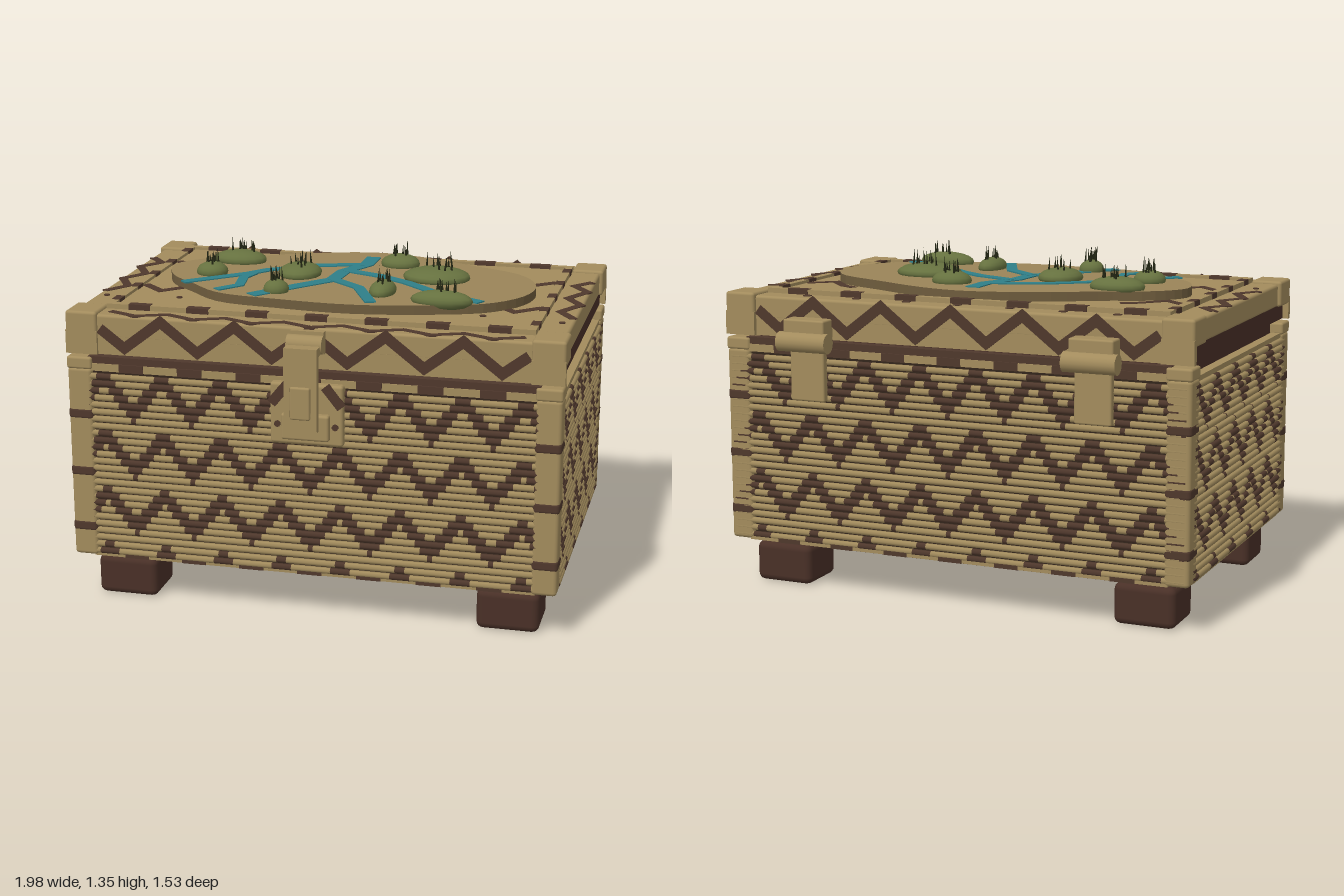
import * as THREE from 'three';
import { mergeGeometries } from 'three/addons/utils/BufferGeometryUtils.js';
import { RoundedBoxGeometry } from 'three/addons/geometries/RoundedBoxGeometry.js';

const mat = (name, color) => Object.assign(new THREE.MeshStandardMaterial({ color }), { name });

export function createModel() {
  const M = {
    tan: mat('wicker tan', 0xa38c5d), brown: mat('pattern brown', 0x4f382c),
    wood: mat('dark wood', 0x493027), core: mat('inner shadow brown', 0x33251b),
    land: mat('land', 0x9a8458), edge: mat('land edge', 0x6e5c3d), water: mat('river teal', 0x2f7f88),
    green: mat('moss green', 0x66713f), grass: mat('grass dark', 0x262a16),
  };
  const root = new THREE.Group();
  const add = (name, geos, m) => {
    const list = [].concat(geos).map(g => (g.index ? g.toNonIndexed() : g));
    const mesh = new THREE.Mesh(mergeGeometries(list), m);
    mesh.name = name;
    root.add(mesh);
    return mesh;
  };
  // box given by its limits; r rounds the edges
  const box = (x0, x1, y0, y1, z0, z1, r = 0) => {
    const s = [x1 - x0, y1 - y0, z1 - z0];
    const g = r ? new RoundedBoxGeometry(...s, 2, r) : new THREE.BoxGeometry(...s);
    return g.translate((x0 + x1) / 2, (y0 + y1) / 2, (z0 + z1) / 2);
  };
  const rodX = (x0, x1, y, z, r, n = 6) =>
    new THREE.CylinderGeometry(r, r, x1 - x0, n, 1, n < 10).rotateZ(Math.PI / 2).translate((x0 + x1) / 2, y, z);
  // flat mitred ribbon in the XY plane
  const ribbon = (pts, w, depth = 0.006) => {
    const P = pts.map(p => new THREE.Vector2(...p)), L = [], R = [];
    P.forEach((p, i) => {
      const a = p.clone().sub(P[Math.max(i - 1, 0)]).normalize();
      const b = P[Math.min(i + 1, P.length - 1)].clone().sub(p).normalize();
      const t = a.clone().add(b).normalize(), d = i ? a : b;
      const k = w / 2 / Math.max(0.45, t.dot(d));
      L.push(new THREE.Vector2(p.x - t.y * k, p.y + t.x * k));
      R.unshift(new THREE.Vector2(p.x + t.y * k, p.y - t.x * k));
    });
    return new THREE.ExtrudeGeometry(new THREE.Shape([...L, ...R]), { depth, bevelEnabled: false });
  };
  // ribbon lying flat, points given as [x, z]
  const flatRibbon = (pts, w, y, depth) =>
    ribbon(pts.map(([x, z]) => [x, -z]), w, depth).rotateX(-Math.PI / 2).translate(0, y, 0);
  let seed = 7;
  const rnd = () => (seed = (seed * 16807) % 2147483647) / 2147483647;

  // feet, base and core
  const feet = [];
  for (const x of [-0.785, 0.785]) for (const z of [0.462, -0.51])
    feet.push(box(x - 0.125, x + 0.125, 0, 0.165, z - 0.112, z + 0.112, 0.028));
  add('feet', feet, M.wood);
  add('basePlate', box(-0.91, 0.91, 0.16, 0.2, -0.59, 0.54), M.wood);
  add('basketCore', box(-0.968, 0.968, 0.19, 0.975, -0.665, 0.618), M.core);
  add('innerRim', box(-0.93, 0.93, 0.97, 1.05, -0.575, 0.535), M.wood);

  // woven walls: rods cut where the zigzag changes colour
  const weave = { tan: [], brown: [] };
  const tri = u => { const t = Math.abs(u / 0.24) % 1; return 1 - Math.abs(2 * t - 1); };
  const dark = (u, y) => [0.08, 0.32, 0.56, 0.8].some(c => Math.abs(y - c - 0.145 * tri(u)) < 0.038);
  const wallRow = (u0, u1, y, place) => {
    let start = u0, cur = dark(u0, y);
    for (let u = u0; u <= u1 + 0.005; u += 0.01) {
      const d = dark(u, y), last = u + 0.01 > u1;
      if (d !== cur || last) {
        const end = last ? u1 : u;
        if (end - start > 0.001) weave[cur ? 'brown' : 'tan'].push(place(rodX(start, end, y, 0, 0.0128)));
        start = end; cur = d;
      }
    }
  };
  for (let i = 0; i < 26; i++) {
    const y = 0.21 + i * 0.0295;
    for (const z of [0.624, -0.672]) wallRow(-0.965, 0.965, y, g => g.translate(0, 0, z));
    for (const x of [-0.975, 0.975]) wallRow(-0.57, 0.63, y, g => g.rotateY(Math.PI / 2).translate(x, 0, 0));
  }
  add('wovenRods', weave.tan, M.tan);
  add('wovenZigzag', weave.brown, M.brown);

  // corner posts with dark bands, and their caps
  const posts = [], bands = [];
  for (const s of [-1, 1]) for (const z of [0.587, -0.633]) {
    const x = s * 0.934;
    posts.push(box(x - 0.05, x + 0.05, 0.19, 0.98, z - 0.05, z + 0.05, 0.015));
    posts.push(box(x - 0.052, x + 0.052, 0.975, 1.025, z - 0.052, z + 0.052, 0.01));
    for (const y of [0.315, 0.55, 0.79])
      bands.push(box(x - 0.052, x + 0.052, y - 0.025, y + 0.025, z - 0.052, z + 0.052, 0.015));
  }
  add('cornerPosts', posts, M.tan);
  add('postBands', bands, M.brown);

  // upper and lower rails with patches
  const rails = [], patches = [];
  for (const z of [0.605, -0.655]) {
    rails.push(box(-0.9, 0.9, 0.97, 1.0, z - 0.025, z + 0.025), box(-0.9, 0.9, 0.188, 0.205, z - 0.025, z + 0.025));
    patches.push(box(-0.9, 0.9, 0.998, 1.028, z - 0.02, z + 0.02));
    for (let i = -3; i <= 3; i++) for (const y of [0.969, 0.187])
      patches.push(box(i * 0.24 - 0.05, i * 0.24 + 0.05, y, y + (y > 0.5 ? 0.032 : 0.019), z - 0.027, z + 0.027));
  }
  for (const s of [-1, 1]) {
    rails.push(box(s * 0.955 - 0.02, s * 0.955 + 0.02, 0.962, 0.982, -0.6, 0.55));
    rails.push(box(s * 0.955 - 0.02, s * 0.955 + 0.02, 0.188, 0.205, -0.6, 0.55));
  }
  add('basketRails', rails, M.tan);
  add('railPatches', patches, M.brown);

  // lid
  const lid = [
    box(-0.975, 0.975, 1.1, 1.195, -0.66, 0.612, 0.012),
    box(-0.955, 0.955, 1.035, 1.11, 0.59, 0.612), box(-0.955, 0.955, 1.035, 1.11, -0.66, -0.638),
  ];
  for (const s of [-1, 1]) {
    const [a, b] = s > 0 ? [0.86, 0.99] : [-0.99, -0.86];
    lid.push(box(a, b, 1.1, 1.207, 0.48, 0.625, 0.012), box(a, b, 1.1, 1.207, -0.678, -0.53, 0.012));
    lid.push(box(a, b, 1.035, 1.13, 0.6, 0.625), box(a, b, 1.035, 1.13, -0.678, -0.65));
    lid.push(box(s * 0.843 - 0.015, s * 0.843 + 0.015, 1.18, 1.215, -0.56, 0.51));
  }
  lid.push(box(-0.858, 0.858, 1.18, 1.215, 0.48, 0.51), box(-0.858, 0.858, 1.18, 1.215, -0.565, -0.535));
  lid.push(box(-0.84, 0.84, 1.18, 1.203, -0.54, 0.49));
  add('lid', lid, M.tan);
  add('lidSideBand', box(-0.968, 0.968, 1.038, 1.102, -0.637, 0.589), M.wood);

  // zigzags and spots on the lid
  const marks = [], zig = [];
  for (let i = -5; i <= 5; i++) zig.push([i * 0.15, i % 2 ? 1.065 : 1.18]);
  zig.unshift([-0.85, 1.14]); zig.push([0.85, 1.14]);
  marks.push(ribbon(zig, 0.042).translate(0, 0, 0.61), ribbon(zig, 0.042).translate(0, 0, -0.664));
  const top = [];
  for (let i = -7; i <= 7; i++) top.push([i * 0.118, i % 2 ? 0.55 : 0.6]);
  marks.push(flatRibbon(top, 0.03, 1.192, 0.005));
  for (const s of [-1, 1]) {
    const side = [-0.37, -0.29, -0.2, -0.08, 0.02, 0.14, 0.24].map((z, i) => [s * (i % 2 ? 0.9 : 0.965), z]);
    marks.push(flatRibbon(side, 0.034, 1.192, 0.005));
    marks.push(flatRibbon([[s * 0.58, -0.35], [s * 0.64, -0.32], [s * 0.73, -0.22], [s * 0.825, -0.3]], 0.036, 1.2, 0.005));
    marks.push(flatRibbon([[s * 0.6, 0.09], [s * 0.73, 0.22], [s * 0.825, 0.13]], 0.036, 1.2, 0.005));
    for (let i = 0; i < 5; i++) {
      const z = -0.47 + i * 0.22;
      marks.push(box(s * 0.843 - 0.017, s * 0.843 + 0.017, 1.17, 1.217, z - 0.03, z + 0.03));
    }
    for (const x of [0.62, 0.93]) marks.push(new THREE.CylinderGeometry(0.013, 0.013, 0.006, 8).translate(s * x, x < 0.8 ? 1.204 : 1.196, 0.31));
  }
  for (let i = -3; i <= 3; i++) {
    for (const z of [0.495, -0.55]) marks.push(box(i * 0.24 - 0.045, i * 0.24 + 0.045, 1.17, 1.217, z - 0.017, z + 0.017));
    marks.push(new THREE.CylinderGeometry(0.018, 0.018, 0.006, 6).translate(i * 0.22, 1.195, -0.595));
  }
  add('lidPattern', marks, M.brown);

  // land slab
  const outline = new THREE.CatmullRomCurve3([
    [-0.77, -0.1], [-0.69, -0.22], [-0.5, -0.31], [-0.3, -0.42], [0, -0.51], [0.2, -0.48], [0.45, -0.37], [0.68, -0.25],
    [0.77, -0.08], [0.75, 0.1], [0.63, 0.25], [0.4, 0.34], [0.1, 0.395], [-0.2, 0.375], [-0.45, 0.33], [-0.6, 0.2], [-0.72, 0.08],
  ].map(([x, z]) => new THREE.Vector3(x, -z, 0)), true).getPoints(64).slice(0, 64);
  const slab = new THREE.ExtrudeGeometry(new THREE.Shape(outline.map(p => new THREE.Vector2(p.x, p.y))),
    { depth: 0.04, bevelEnabled: false }).rotateX(-Math.PI / 2).translate(0, 1.2, 0);
  const land = new THREE.Mesh(slab, [M.land, M.edge]);
  land.name = 'land';
  root.add(land);

  // rivers
  add('rivers', [
    [0.06, [0.02, -0.41], [0.02, -0.27], [-0.045, -0.13], [-0.055, 0.02], [-0.17, 0.16], [-0.31, 0.34]],
    [0.045, [0.02, -0.275], [-0.2, -0.2], [-0.36, -0.08], [-0.42, 0], [-0.64, 0.2]],
    [0.04, [-0.4, -0.01], [-0.42, 0.07], [-0.4, 0.2], [-0.47, 0.29]],
    [0.045, [-0.04, -0.15], [0.13, -0.08], [0.25, 0], [0.4, 0.14], [0.6, 0.25]],
    [0.045, [-0.06, 0.01], [0.08, 0.13], [0.18, 0.35]],
  ].map(([w, ...p], i) => flatRibbon(p, w, 1.238, 0.006 + i * 0.0004)), M.water);

  // mossy mounds with grass blades
  const mounds = [], blades = [];
  for (const [x, z, rx, rz] of [
    [-0.52, -0.22, 0.115, 0.075], [0.16, -0.3, 0.083, 0.068], [-0.21, -0.045, 0.09, 0.105], [0.355, -0.1, 0.14, 0.11],
    [-0.57, 0.02, 0.066, 0.062], [0.19, 0.175, 0.053, 0.092], [-0.23, 0.255, 0.052, 0.05], [0.45, 0.28, 0.125, 0.056],
  ]) {
    mounds.push(new THREE.SphereGeometry(1, 16, 10).scale(rx, 0.04, rz).translate(x, 1.25, z));
    for (let i = 0; i < 11; i++) {
      const a = rnd() * 6.28, r = Math.sqrt(rnd()) * 0.55, h = 0.045 + rnd() * 0.03;
      blades.push(new THREE.ConeGeometry(0.0055, h, 4).rotateZ((rnd() - 0.5) * 0.2)
        .translate(x + Math.cos(a) * r * rx, 1.275 + h / 2, z + Math.sin(a) * r * rz));
    }
  }
  add('mounds', mounds, M.green);
  add('grass', blades, M.grass);

  // front latch
  const hole = new THREE.Shape([[-0.065, 0.82], [0.065, 0.82], [0.065, 1.15], [-0.065, 1.15]].map(p => new THREE.Vector2(...p)));
  hole.holes.push(new THREE.Path([[-0.042, 0.875], [-0.042, 0.995], [0.042, 0.995], [0.042, 0.875]].map(p => new THREE.Vector2(...p))));
  add('latch', [
    box(-0.145, 0.145, 0.74, 0.985, 0.61, 0.662, 0.012), box(-0.095, 0.095, 0.765, 0.87, 0.65, 0.69, 0.01),
    new THREE.ExtrudeGeometry(hole, { depth: 0.03, bevelEnabled: false }).translate(0, 0, 0.722),
    box(-0.04, 0.04, 0.87, 1.0, 0.738, 0.762, 0.008),
    box(-0.065, 0.065, 1.115, 1.15, 0.66, 0.752), box(-0.065, 0.065, 1.1, 1.19, 0.6, 0.64),
    rodX(-0.07, 0.07, 1.147, 0.667, 0.036, 16),
  ], M.tan);
  const latchMarks = [];
  for (const s of [-1, 1]) {
    latchMarks.push(ribbon([[s * 0.14, 0.9], [s * 0.1, 0.95], [s * 0.075, 0.98]], 0.04).translate(0, 0, 0.658));
    latchMarks.push(new THREE.CylinderGeometry(0.013, 0.013, 0.008, 10).rotateX(Math.PI / 2).translate(s * 0.115, 0.82, 0.664));
  }
  add('latchMarks', latchMarks, M.brown);

  // back hinges
  const hinges = [];
  for (const x of [-0.605, 0.605]) {
    hinges.push(rodX(x - 0.108, x + 0.108, 1.03, -0.73, 0.04, 16));
    hinges.push(box(x - 0.09, x + 0.09, 1.04, 1.12, -0.735, -0.65, 0.008));
    hinges.push(box(x - 0.075, x + 0.075, 0.79, 1.03, -0.71, -0.675, 0.008));
  }
  add('hinges', hinges, M.tan);
  return root;
}
